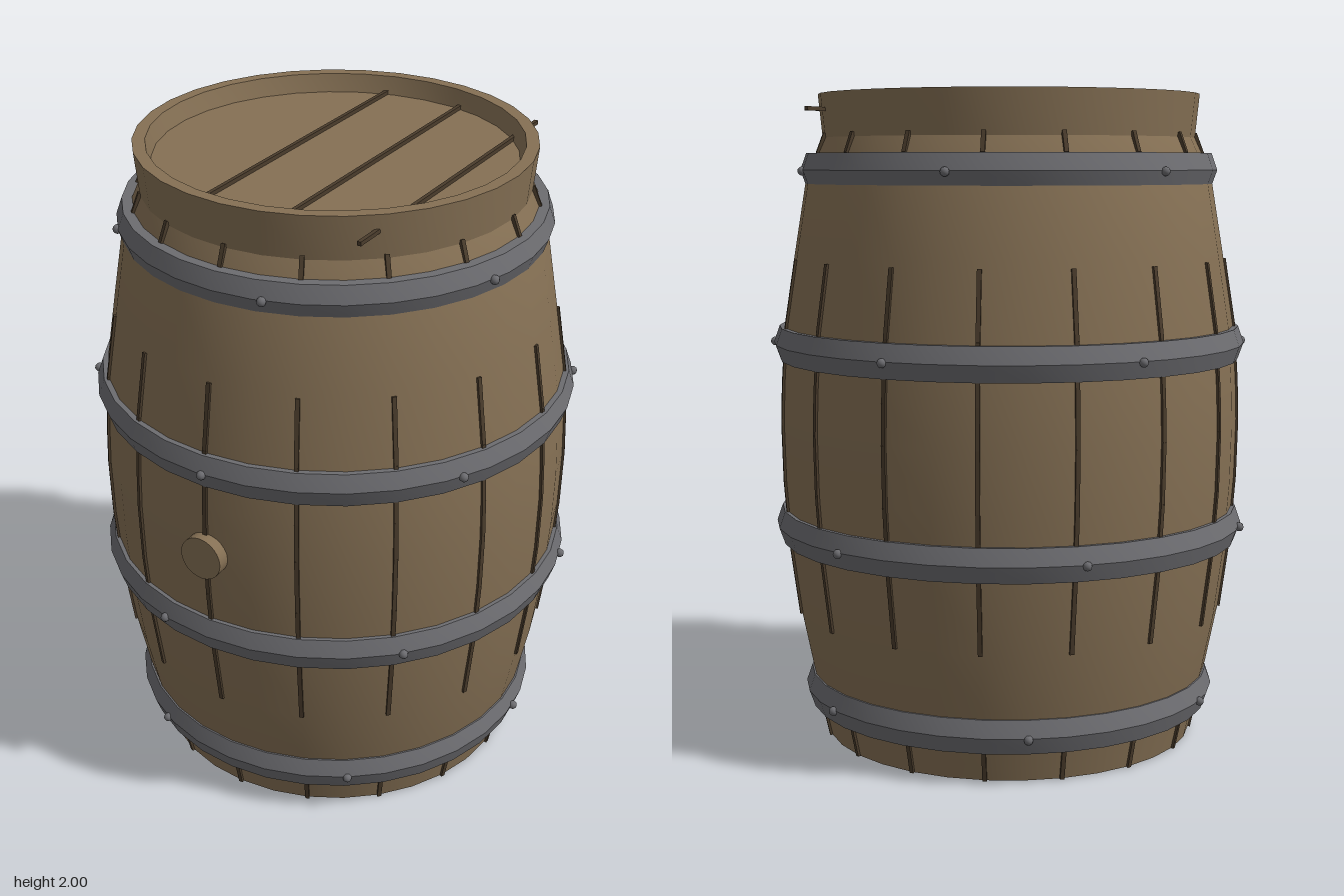
import * as THREE from 'three';
import { toCreasedNormals } from 'three/addons/utils/BufferGeometryUtils.js';

const wood = new THREE.MeshStandardMaterial({ name: 'oak wood', color: 0x857054 });
const dark = new THREE.MeshStandardMaterial({ name: 'dark seam', color: 0x4a3c2c });
const iron = new THREE.MeshStandardMaterial({ name: 'iron', color: 0x6c6c70 });

// Outer profile of the staves: [radius, height]
const PROFILE = [
  [0.58, 0], [0.602, 0.1], [0.632, 0.22], [0.668, 0.4], [0.697, 0.62], [0.712, 0.82],
  [0.716, 1], [0.712, 1.12], [0.7, 1.3], [0.665, 1.52], [0.63, 1.73], [0.606, 1.8], [0.574, 1.87],
];

function radiusAt(y) {
  for (let i = 1; i < PROFILE.length; i++) {
    const [r0, y0] = PROFILE[i - 1], [r1, y1] = PROFILE[i];
    if (y <= y1) return r0 + (r1 - r0) * (y - y0) / (y1 - y0);
  }
  return 0.574;
}

function lathe(points, crease = 0.4) {
  const geo = new THREE.LatheGeometry(points.map(p => new THREE.Vector2(...p)), 32);
  return toCreasedNormals(geo, crease);
}

export function createModel() {
  const barrel = new THREE.Group();
  barrel.name = 'barrel';
  const add = (name, geo, mat, parent = barrel) => {
    const mesh = new THREE.Mesh(geo, mat);
    mesh.name = name;
    parent.add(mesh);
    return mesh;
  };

  // Staves with closed bottom, and the top rim around a recessed lid
  add('staves', lathe([[0, 0], ...PROFILE]), wood);
  add('rim', lathe([[0.574, 1.86], [0.588, 2], [0.55, 2], [0.535, 1.945]]), wood);
  add('lid', lathe([[0.54, 1.945], [0, 1.945]]), wood);

  // Seams between the lid boards
  for (const x of [-0.13, 0.13, 0.39]) {
    add('lidSeam', new THREE.BoxGeometry(0.012, 0.012, 1.05), dark).position.set(x, 1.951, 0);
  }

  // Seams between the staves, following the bulge
  const seams = new THREE.Group();
  seams.name = 'staveSeams';
  barrel.add(seams);
  const runs = [
    [0, 0.1], [0.4, 0.62], [0.62, 0.82], [0.82, 1], [1, 1.12], [1.12, 1.3], [1.3, 1.5], [1.82, 1.88],
  ];
  for (let i = 0; i < 16; i++) {
    const spoke = new THREE.Group();
    spoke.name = 'staveSeam';
    spoke.rotation.y = i * Math.PI / 8;
    seams.add(spoke);
    for (const [y0, y1] of runs) {
      const r0 = radiusAt(y0), r1 = radiusAt(y1);
      const seam = add('seamPiece', new THREE.BoxGeometry(0.013, Math.hypot(y1 - y0, r1 - r0), 0.014), dark, spoke);
      seam.position.set(0, (y0 + y1) / 2, (r0 + r1) / 2);
      seam.rotation.x = Math.atan2(r1 - r0, y1 - y0);
    }
  }

  // Iron hoops with six rivets each: height, ridge radius, angle of the first rivet
  const hoops = [[0.148, 0.65, 34.5], [0.673, 0.735, 47], [1.24, 0.735, 0.5], [1.77, 0.645, 13.5]];
  for (const [y, r, offset] of hoops) {
    const hoop = new THREE.Group();
    hoop.name = 'hoop';
    hoop.position.y = y;
    barrel.add(hoop);
    const h = 0.051, edge = r - 0.018, inner = r - 0.06;
    add('hoopBand', lathe([[inner, -h], [edge, -h], [r, 0], [edge, h], [inner, h]], 0.3), iron, hoop);
    for (let i = 0; i < 6; i++) {
      const a = THREE.MathUtils.degToRad(offset + i * 60);
      add('rivet', new THREE.SphereGeometry(0.014, 8, 6), iron, hoop)
        .position.set(Math.sin(a) * r, -0.003, Math.cos(a) * r);
    }
  }

  // Bung on the front
  const bung = add('bung', new THREE.CylinderGeometry(0.068, 0.068, 0.06, 24), wood);
  bung.rotation.x = Math.PI / 2;
  bung.position.set(0, 0.96, 0.717);

  return barrel;
}
